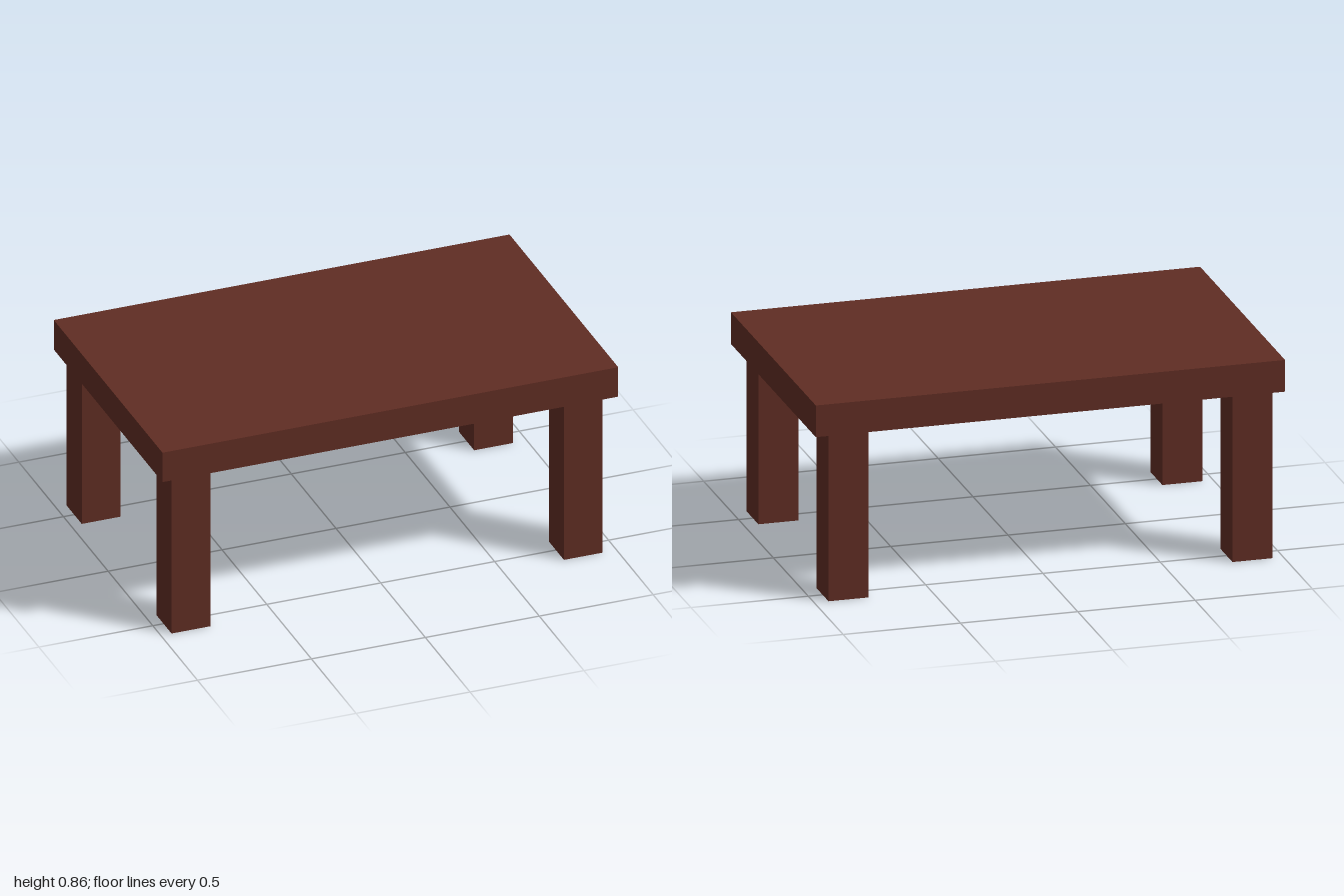
import * as THREE from 'three';

const HEIGHT = 0.86, TOP_THICKNESS = 0.137, LEG_WIDTH = 0.17;
const LEG_HEIGHT = HEIGHT - TOP_THICKNESS;

export function createModel() {
  const table = new THREE.Group();
  table.name = 'table';
  const wood = new THREE.MeshStandardMaterial({ color: 0x602d23 });
  wood.name = 'dark reddish wood';

  // Thick rectangular slab
  const top = new THREE.Mesh(new THREE.BoxGeometry(2, TOP_THICKNESS, 1.217), wood);
  top.name = 'tableTop';
  top.position.y = HEIGHT - TOP_THICKNESS / 2;
  table.add(top);

  // Four square legs, set slightly off centre under the slab
  const legGeometry = new THREE.BoxGeometry(LEG_WIDTH, LEG_HEIGHT, LEG_WIDTH);
  for (const [side, x] of [['Left', 0.854], ['Right', -0.868]]) {
    for (const [end, z] of [['front', 0.505], ['back', -0.5]]) {
      const leg = new THREE.Mesh(legGeometry, wood);
      leg.name = `${end}${side}Leg`;
      leg.position.set(x, LEG_HEIGHT / 2, z);
      table.add(leg);
    }
  }
  return table;
}
